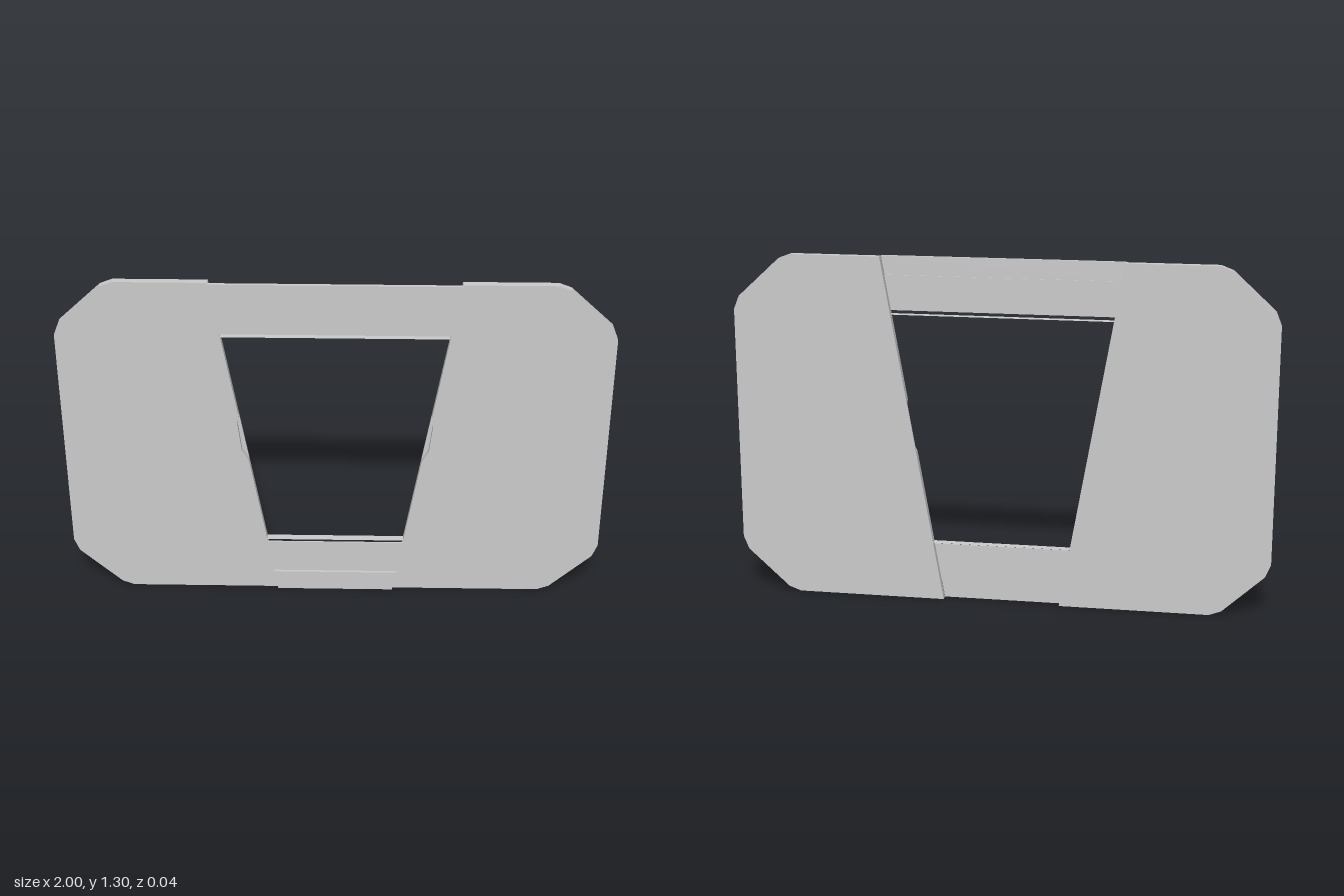
import * as THREE from 'three';

const H = 1.305;
// half-width of the tapered opening at height y
const edge = (y) => 0.22 + 0.173 * y;

export function createModel() {
  const model = new THREE.Group();
  const mat = new THREE.MeshStandardMaterial({ color: 0xcccccc, flatShading: true, side: THREE.DoubleSide });

  // flat plate from an outline, between two depths
  function plate(name, points, z0, z1, parent = model) {
    const shape = new THREE.Shape(points.map(([x, y]) => new THREE.Vector2(x, y)));
    const geo = new THREE.ExtrudeGeometry(shape, { depth: z1 - z0, bevelEnabled: false });
    geo.translate(0, 0, z0);
    const mesh = new THREE.Mesh(geo, mat);
    mesh.name = name;
    parent.add(mesh);
  }

  // side panels: chamfered outer corners, sloped inner edge
  const outer = [
    [edge(0), 0], [0.78, 0], [0.825, 0.017], [0.98, 0.16], [1, 0.21],
    [1, 1.095], [0.98, 1.145], [0.825, 1.288], [0.78, H], [edge(H), H],
  ];
  // shallow finger notch in the front layer
  const notch = [[edge(0.77), 0.77], [0.358, 0.73], [0.345, 0.62], [0.326, 0.588], [edge(0.575), 0.575]];
  for (const [side, s] of [['left', 1], ['right', -1]]) {
    const panel = new THREE.Group();
    panel.name = side + 'Panel';
    const flip = (pts) => pts.map(([x, y]) => [s * x, y]);
    plate(side + 'PanelBack', flip(outer), -0.02, -0.012, panel);
    plate(side + 'PanelFront', flip([...outer, ...notch]), -0.012, 0.007, panel);
    model.add(panel);
  }

  // strip across the opening, following the taper
  const band = (y0, y1) => [[-edge(y0), y0], [edge(y0), y0], [edge(y1), y1], [-edge(y1), y1]];

  // crossbars with a raised lip along the outer edge
  plate('topCrossbar', band(1.105, 1.235), 0.005, 0.01);
  plate('topLip', band(1.23, H), 0.008, 0.02);
  plate('bottomCrossbar', band(0.075, 0.213), 0.005, 0.01);
  plate('bottomLip', band(0, 0.08), 0.008, 0.02);

  // thin ledges just inside the crossbars
  for (const [name, y] of [['topLedge', 1.093], ['bottomLedge', 0.224]]) {
    const geo = new THREE.PlaneGeometry(2 * edge(y), 0.03);
    geo.rotateX(-Math.PI / 2);
    const ledge = new THREE.Mesh(geo, mat);
    ledge.name = name;
    ledge.position.set(0, y, -0.005);
    model.add(ledge);
  }

  return model;
}
